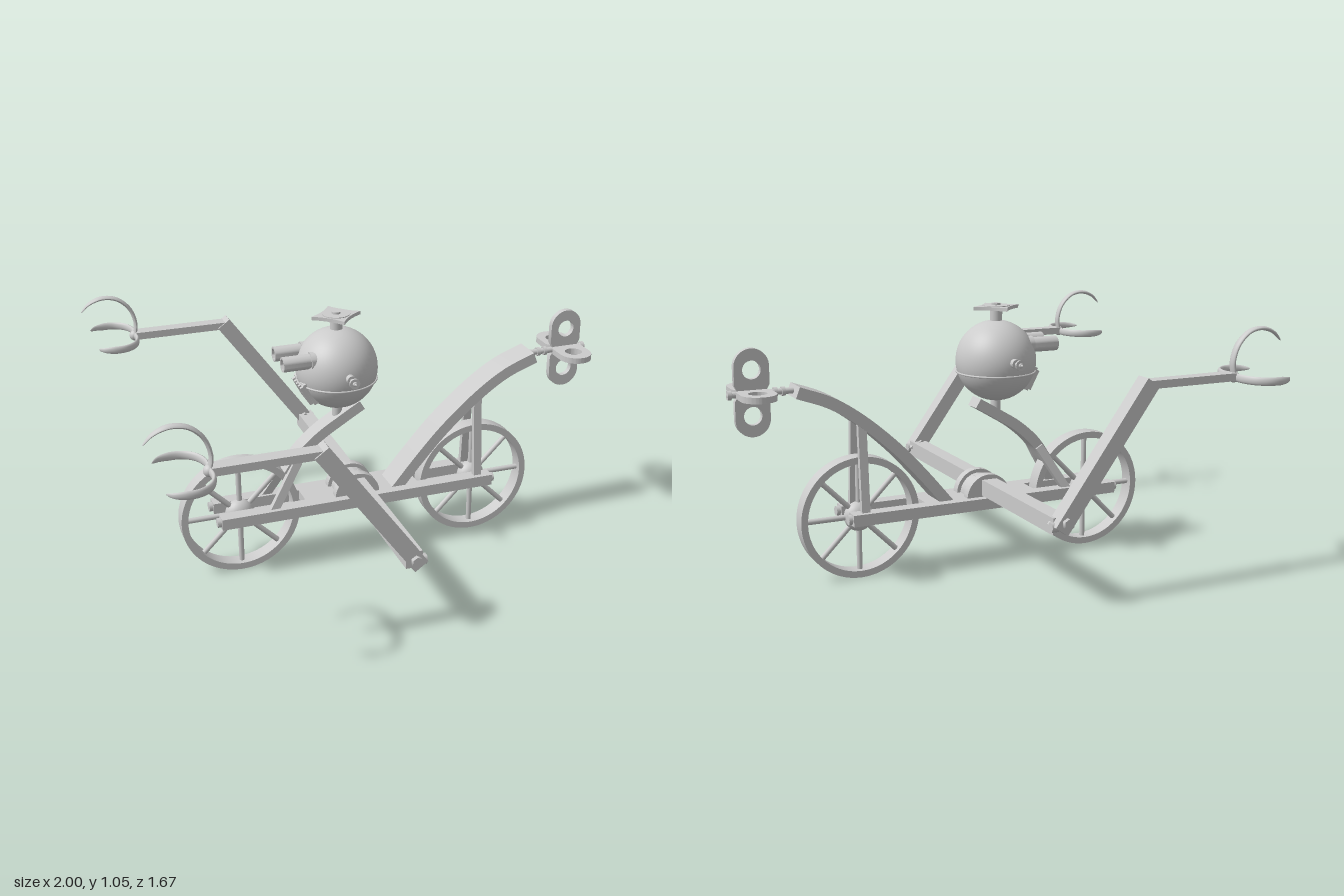
import * as THREE from 'three';
import { toCreasedNormals } from 'three/addons/utils/BufferGeometryUtils.js';

const MAT = new THREE.MeshStandardMaterial({ color: 0xcccccc, side: THREE.DoubleSide });
const V = (x, y, z = 0) => new THREE.Vector3(x, y, z);

function add(parent, name, geo, x = 0, y = 0, z = 0) {
  const m = new THREE.Mesh(geo, MAT);
  m.name = name;
  m.position.set(x, y, z);
  parent.add(m);
  return m;
}
function group(parent, name, x = 0, y = 0, z = 0) {
  const g = new THREE.Group();
  g.name = name;
  g.position.set(x, y, z);
  parent.add(g);
  return g;
}
const box = (w, h, d) => new THREE.BoxGeometry(w, h, d);
const cyl = (r, h, n = 24, r2 = r) => new THREE.CylinderGeometry(r, r2, h, n);
const cylZ = (r, h, n) => cyl(r, h, n).rotateX(Math.PI / 2);
const cylX = (r, h, n) => cyl(r, h, n).rotateZ(Math.PI / 2);

// Straight square bar from a to b
function bar(parent, name, a, b, w, d) {
  const m = add(parent, name, box(w, a.distanceTo(b), d));
  m.position.copy(a).lerp(b, 0.5);
  m.quaternion.setFromUnitVectors(V(0, 1, 0), b.clone().sub(a).normalize());
  return m;
}
function extrudeZ(shape, depth) {
  const g = new THREE.ExtrudeGeometry(shape, { depth, bevelEnabled: false, curveSegments: 20 });
  g.translate(0, 0, -depth / 2);
  return toCreasedNormals(g, 0.6);
}
// Rectangular bar that follows a curve in the xy plane
function curvedBar(points, thick, width) {
  const curve = new THREE.CatmullRomCurve3(points);
  const up = [], down = [];
  for (let i = 0; i <= 24; i++) {
    const p = curve.getPointAt(i / 24), t = curve.getTangentAt(i / 24);
    const n = new THREE.Vector2(-t.y, t.x).multiplyScalar(thick / 2);
    up.push(new THREE.Vector2(p.x + n.x, p.y + n.y));
    down.unshift(new THREE.Vector2(p.x - n.x, p.y - n.y));
  }
  return extrudeZ(new THREE.Shape([...up, ...down]), width);
}
// Flattened tube that tapers to a point at its far end
function hook(points) {
  const curve = new THREE.CatmullRomCurve3(points), seg = 36, sides = 12;
  const g = new THREE.TubeGeometry(curve, seg, 0.008, sides);
  const pos = g.attributes.position, v = V(0, 0);
  for (let i = 0; i < pos.count; i++) {
    const u = Math.floor(i / (sides + 1)) / seg;
    const c = curve.getPointAt(u), k = Math.min(1, (1 - u) / 0.25);
    v.fromBufferAttribute(pos, i).sub(c).multiplyScalar(Math.sqrt(k));
    pos.setXYZ(i, c.x + v.x, c.y + v.y, c.z + v.z * 2);
  }
  g.computeVertexNormals();
  return g;
}

function buildWheel(parent, x) {
  const w = group(parent, 'wheel', x, 0.247, 0);
  const rim = new THREE.Shape().absarc(0, 0, 0.245, 0, Math.PI * 2);
  rim.holes.push(new THREE.Path().absarc(0, 0, 0.218, 0, Math.PI * 2, true));
  const geo = new THREE.ExtrudeGeometry(rim, { depth: 0.063, bevelEnabled: false, curveSegments: 48 });
  add(w, 'rim', toCreasedNormals(geo.translate(0, 0, -0.0315), 0.6));
  for (let i = 0; i < 8; i++) {
    const spoke = add(w, 'spoke', cyl(0.011, 0.19, 10).translate(0, 0.13, 0));
    spoke.rotation.z = i * Math.PI / 4;
  }
  add(w, 'hub', new THREE.SphereGeometry(0.06, 24, 16).scale(1, 1, 0.75));
  add(w, 'axle', cylZ(0.015, 0.17, 16));
}

function buildFrame(parent) {
  const f = group(parent, 'frame', 0, 0.257, 0);
  add(f, 'plate', box(0.49, 0.046, 0.2), -0.015, 0, 0);
  for (const s of [-1, 1]) {
    add(f, 'rail', box(1.17, 0.046, 0.057), -0.035, 0, s * 0.0715);
    for (const x of [-0.625, 0.555]) add(f, 'railBolt', cylX(0.02, 0.02, 8), x, 0, s * 0.0715);
    bar(parent, 'tailPost', V(0.492, 0.27, s * 0.07), V(0.492, 0.64, s * 0.042), 0.034, 0.022);
    bar(parent, 'neckFork', V(-0.4, 0.27, s * 0.07), V(-0.285, 0.455, s * 0.035), 0.034, 0.026);
  }
  // Grooved half-round clamp that holds the shoulder bar
  const half = r => new THREE.Shape().absarc(0, 0, r, 0, Math.PI);
  add(parent, 'clampCore', extrudeZ(half(0.08), 0.12), -0.042, 0.275, 0);
  for (const s of [-1, 1]) add(parent, 'clampFlange', extrudeZ(half(0.095), 0.035), -0.042, 0.275, s * 0.05);
}

function buildTail(parent) {
  add(parent, 'tailBar', curvedBar(
    [V(0.13, 0.265), V(0.23, 0.385), V(0.345, 0.51), V(0.5, 0.645), V(0.62, 0.722), V(0.745, 0.77)], 0.046, 0.12));
  // Wind-up key with two crossed bows
  const key = group(parent, 'key', 0.905, 0.775, 0);
  add(key, 'shaft', cylX(0.012, 0.25, 16), -0.035, -0.004, 0);
  for (const x of [-0.12, -0.09, 0.085]) add(key, 'collar', cylX(0.018, 0.014, 16), x, -0.004, 0);
  add(key, 'tip', new THREE.SphereGeometry(0.014, 12, 8), 0.081, -0.004, 0);
  const bow = new THREE.Shape();
  bow.moveTo(0.067, -0.1).lineTo(0.067, -0.03).lineTo(0.05, 0).lineTo(0.067, 0.03).lineTo(0.067, 0.1);
  bow.absarc(0, 0.1, 0.067, 0, Math.PI);
  bow.lineTo(-0.067, 0.03).lineTo(-0.05, 0).lineTo(-0.067, -0.03).lineTo(-0.067, -0.1);
  bow.absarc(0, -0.1, 0.067, Math.PI, Math.PI * 2);
  for (const y of [-0.087, 0.087]) bow.holes.push(new THREE.Path().absarc(0, y, 0.035, 0, Math.PI * 2, true));
  for (const a of [0, Math.PI / 2]) add(key, 'bow', extrudeZ(bow, 0.024)).rotation.x = a;
}

function buildHead(parent) {
  add(parent, 'neckBar', curvedBar(
    [V(-0.325, 0.4), V(-0.27, 0.478), V(-0.19, 0.55), V(-0.1, 0.607), V(-0.01, 0.66)], 0.042, 0.075));
  add(parent, 'neckPost', cyl(0.02, 0.09, 16), -0.105, 0.645, 0);
  const h = group(parent, 'head', -0.105, 0.825, 0);
  add(h, 'skull', new THREE.SphereGeometry(0.163, 48, 32));
  add(h, 'seam', new THREE.TorusGeometry(0.164, 0.004, 8, 48).rotateX(Math.PI / 2), 0, -0.045, 0).scale.set(0.97, 1, 0.97);

  for (const s of [-1, 1]) {
    // Tube eyes
    const profile = [[0, 0], [0.036, 0], [0.036, 0.1], [0.03, 0.1], [0.03, 0.21], [0.022, 0.21], [0.022, 0.19], [0, 0.19]];
    const eye = new THREE.LatheGeometry(profile.map(p => new THREE.Vector2(...p)), 24);
    add(h, 'eye', toCreasedNormals(eye.rotateZ(Math.PI / 2), 0.6), -0.03, 0.062, s * 0.06);
    // Ear pins
    add(h, 'earBase', cylZ(0.018, 0.03, 16), 0, 0.01, s * 0.168);
    add(h, 'earPin', cylZ(0.008, 0.06, 12), 0, 0.01, s * 0.195);
    add(h, 'earDisc', cylZ(0.021, 0.008, 16), 0, 0.01, s * 0.215);
    add(h, 'earTip', new THREE.ConeGeometry(0.012, 0.02, 12).rotateX(s * Math.PI / 2), 0, 0.01, s * 0.226);
  }
  // Mouth grille: a slanted plate with upright teeth
  const mouth = group(h, 'mouth', -0.118, -0.07, 0);
  mouth.rotation.z = 0.48;
  add(mouth, 'lip', box(0.04, 0.1, 0.13));
  for (let i = -2; i <= 2; i++) add(mouth, 'tooth', box(0.02, 0.085, 0.014), -0.025, 0, i * 0.026);

  // Star-shaped valve on top
  add(h, 'valveStem', cyl(0.025, 0.07), 0, 0.185, 0);
  const star = new THREE.Shape();
  star.moveTo(0.1, 0);
  for (let i = 1; i <= 4; i++) {
    const a = i * Math.PI / 2, m = a - Math.PI / 4;
    star.quadraticCurveTo(0.05 * Math.cos(m), 0.05 * Math.sin(m), 0.1 * Math.cos(a), 0.1 * Math.sin(a));
  }
  add(h, 'valveStar', extrudeZ(star, 0.014).rotateX(Math.PI / 2), 0, 0.213, 0);
  add(h, 'valveDisc', cyl(0.055, 0.012, 32), 0, 0.217, 0);
  add(h, 'valveCap', cyl(0.018, 0.03, 16), 0, 0.216, 0);
}

function buildArm(parent, s) {
  const arm = group(parent, s > 0 ? 'leftArm' : 'rightArm', 0, 0, s * 0.677);
  bar(arm, 'upperArm', V(-0.03, 0.305), V(-0.405, 0.825), 0.062, 0.066);
  add(arm, 'shoulderBolt', cylZ(0.022, 0.1, 6), -0.052, 0.335, 0);
  add(arm, 'shoulderNut', cylX(0.02, 0.03, 6), -0.015, 0.318, 0);
  add(arm, 'forearm', box(0.4, 0.03, 0.055), -0.58, 0.815, 0);
  // Three-pronged claw
  add(arm, 'wrist', new THREE.SphereGeometry(0.022, 16, 12), -0.785, 0.812, 0);
  add(arm, 'topProng', hook([V(-0.785, 0.81), V(-0.778, 0.87), V(-0.8, 0.935), V(-0.85, 0.98),
    V(-0.91, 0.99), V(-0.965, 0.97), V(-1.0, 0.935)]));
  for (const k of [-1, 1]) {
    const prong = add(arm, 'sideProng', hook([V(-0.785, 0), V(-0.783, 0.06), V(-0.805, 0.115), V(-0.845, 0.145),
      V(-0.89, 0.15), V(-0.93, 0.14), V(-0.955, 0.118)]), 0, 0.812, 0);
    prong.rotation.x = k * Math.PI / 2;
  }
}

export function createModel() {
  const model = new THREE.Group();
  model.name = 'windUpCycle';
  const cycle = group(model, 'cycle', 0, 0, -0.018);
  for (const x of [-0.524, 0.495]) buildWheel(cycle, x);
  buildFrame(cycle);
  buildTail(cycle);
  buildHead(cycle);
  add(model, 'shoulderBar', box(0.065, 0.065, 1.35), -0.045, 0.318, 0);
  for (const s of [-1, 1]) buildArm(model, s);
  return model;
}
